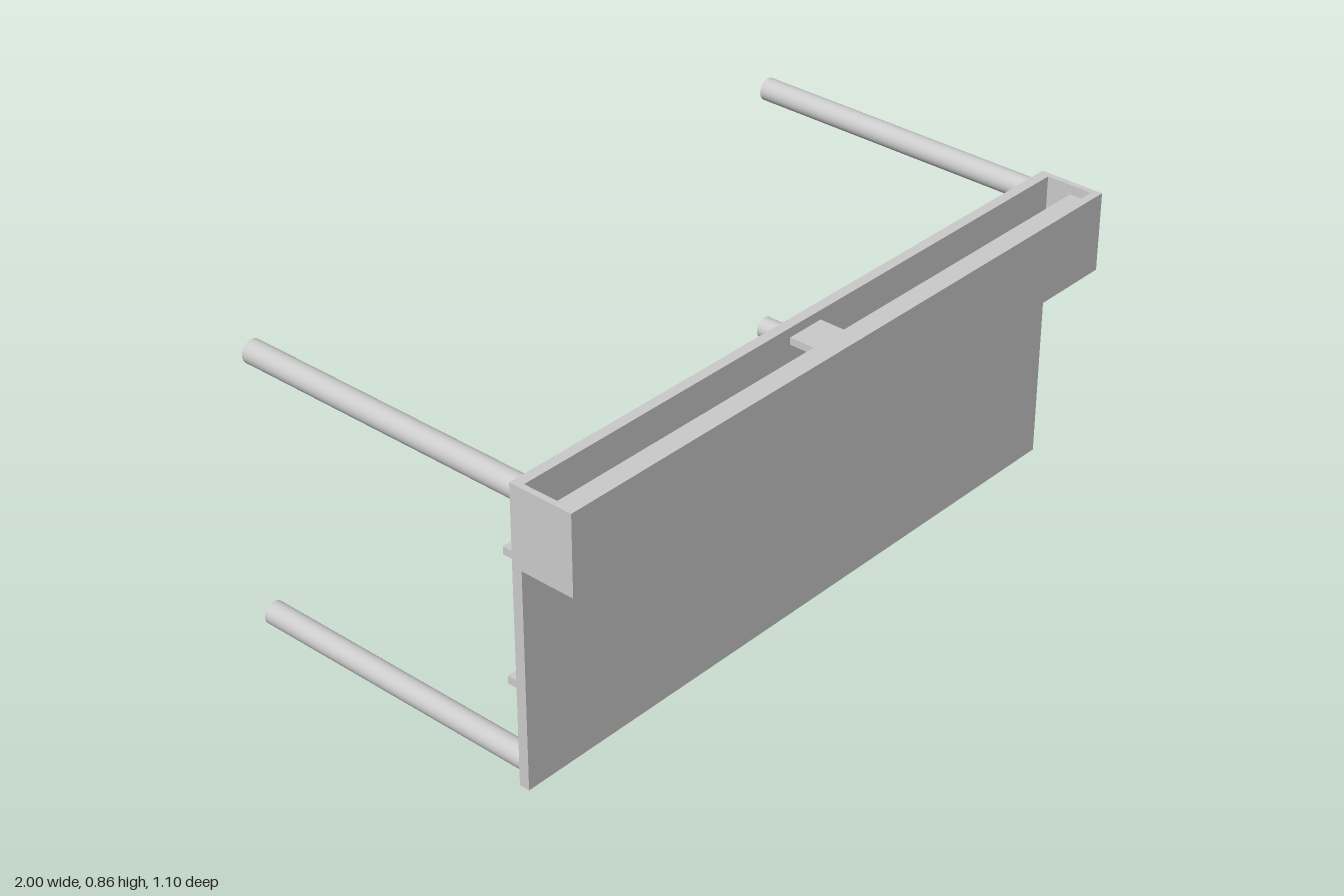
import * as THREE from 'three';

const material = new THREE.MeshStandardMaterial({ color: 0xcccccc });

// Adds a box given by its extents on each axis
function addBox(group, name, [x0, x1], [y0, y1], [z0, z1]) {
  const mesh = new THREE.Mesh(new THREE.BoxGeometry(x1 - x0, y1 - y0, z1 - z0), material);
  mesh.name = name;
  mesh.position.set((x0 + x1) / 2, (y0 + y1) / 2, (z0 + z1) / 2);
  group.add(mesh);
}

export function createModel() {
  const model = new THREE.Group();
  model.name = 'desk';
  const height = 0.857;
  const topBack = 0.36, topFront = 0.39, trayFront = 0.55;

  // Table top, standing on its long edge
  addBox(model, 'tableTop', [-1, 1], [0, height], [topBack, topFront]);

  // Open cable tray along the upper edge: end panels, front wall, inner shelf
  const tray = new THREE.Group();
  tray.name = 'cableTray';
  addBox(tray, 'trayFrontWall', [-1, 1], [0.63, height], [0.527, trayFront]);
  addBox(tray, 'trayRightEnd', [-1, -0.983], [0.63, height], [topFront, 0.527]);
  addBox(tray, 'trayLeftEnd', [0.983, 1], [0.63, height], [topFront, 0.527]);
  addBox(tray, 'trayShelf', [-0.983, 0.983], [0.81, 0.83], [0.463, 0.527]);
  addBox(tray, 'trayBridge', [-0.065, 0.05], [0.81, 0.83], [topFront, 0.463]);
  model.add(tray);

  // Stiffening rails on the underside
  for (const y of [0.276, 0.642]) {
    addBox(model, 'rail', [-0.98, 0.98], [y - 0.011, y + 0.011], [0.312, topBack]);
  }

  // Four round legs pointing backwards
  const legLength = topBack + 0.55;
  const legGeometry = new THREE.CylinderGeometry(0.0325, 0.0325, legLength, 32).rotateX(Math.PI / 2);
  for (const x of [-0.955, 0.955]) {
    for (const y of [0.046, 0.816]) {
      const leg = new THREE.Mesh(legGeometry, material);
      leg.name = 'leg';
      leg.position.set(x, y, topBack - legLength / 2);
      model.add(leg);
    }
  }
  return model;
}
